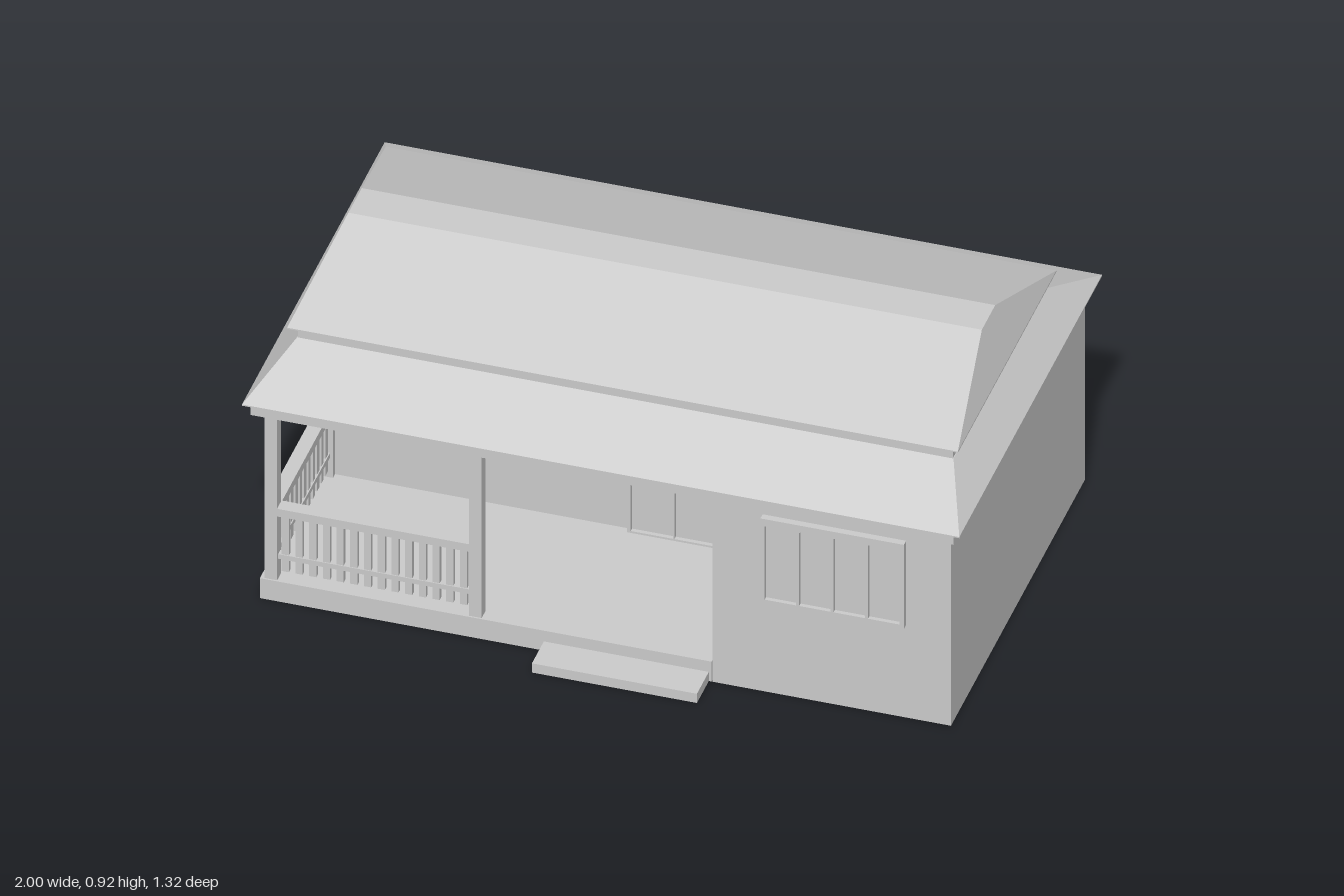
import * as THREE from 'three';

const material = new THREE.MeshStandardMaterial({ color: 0xcccccc, side: THREE.DoubleSide, flatShading: true });

function add(parent, name, geometry) {
  const mesh = new THREE.Mesh(geometry, material);
  mesh.name = name;
  parent.add(mesh);
  return mesh;
}

// Box given by its min and max on each axis
function box(parent, name, x0, x1, y0, y1, z0, z1) {
  const g = new THREE.BoxGeometry(x1 - x0, y1 - y0, z1 - z0);
  g.translate((x0 + x1) / 2, (y0 + y1) / 2, (z0 + z1) / 2);
  return add(parent, name, g);
}

// Faceted loft through stacked rings of points, anticlockwise from above
function loft(rings, capped = true) {
  const pos = [];
  const quad = (a, b, c, d) => pos.push(...a, ...b, ...c, ...a, ...c, ...d);
  for (let k = 0; k < rings.length - 1; k++) {
    const lo = rings[k], hi = rings[k + 1];
    lo.forEach((p, i) => {
      const j = (i + 1) % lo.length;
      quad(p, lo[j], hi[j], hi[i]);
    });
  }
  if (capped) {
    quad(...rings[rings.length - 1]);
    quad(...[...rings[0]].reverse());
  }
  const g = new THREE.BufferGeometry();
  g.setAttribute('position', new THREE.Float32BufferAttribute(pos, 3));
  g.computeVertexNormals();
  return g;
}

const rect = (x, zBack, zFront, y) => [[x, y, zFront], [x, y, zBack], [-x, y, zBack], [-x, y, zFront]];

// Flat frame with a row of arched openings, plus a recessed panel behind them
function archedFrame(name, w, h, count, rim, bar, rise, bottomRim = rim) {
  const group = new THREE.Group();
  group.name = name;
  const shape = new THREE.Shape();
  shape.moveTo(-w / 2, 0);
  shape.lineTo(w / 2, 0);
  shape.lineTo(w / 2, h);
  shape.lineTo(-w / 2, h);
  const pane = (w - 2 * rim - (count - 1) * bar) / count;
  for (let i = 0; i < count; i++) {
    const x = -w / 2 + rim + i * (pane + bar);
    const hole = new THREE.Path();
    hole.moveTo(x, bottomRim);
    hole.lineTo(x, h - rim - rise);
    hole.quadraticCurveTo(x + pane / 2, h - rim + rise, x + pane, h - rim - rise);
    hole.lineTo(x + pane, bottomRim);
    shape.holes.push(hole);
  }
  const frame = new THREE.ExtrudeGeometry(shape, { depth: 0.03, bevelEnabled: false, curveSegments: 8 });
  frame.translate(0, 0, -0.01);
  add(group, name + 'Frame', frame);
  box(group, name + 'Panel', -w / 2 + rim / 2, w / 2 - rim / 2, rim / 2, h - rim / 2, -0.004, 0.008);
  return group;
}

// Porch railing along +x from the origin
function railing(name, length) {
  const group = new THREE.Group();
  group.name = name;
  box(group, 'handrail', 0, length, 0.275, 0.3, -0.02, 0.02);
  box(group, 'lowerRail', 0, length, 0.13, 0.145, -0.01, 0.01);
  const n = Math.round(length / 0.038);
  for (let i = 0; i < n; i++) {
    const x = (i + 0.5) * length / n;
    box(group, 'baluster', x - 0.01, x + 0.01, 0.09, 0.275, -0.007, 0.007);
  }
  return group;
}

export function createModel() {
  const house = new THREE.Group();
  house.name = 'house';

  // Walls: L-shaped plan leaving a corner for the porch, open underneath
  const plan = [[0.965, 0.555], [0.965, -0.625], [-0.96, -0.625], [-0.96, 0.04], [0.3, 0.04], [0.3, 0.555]];
  add(house, 'walls', loft([0, 0.612].map(y => plan.map(([x, z]) => [x, y, z])), false));

  // Porch floor and step
  box(house, 'porchFloor', -0.962, 0.298, 0, 0.065, 0.042, 0.555);
  box(house, 'step', -0.17, 0.29, 0, 0.03, 0.555, 0.66);

  // Porch posts
  box(house, 'cornerPost', -0.95, -0.915, 0.065, 0.612, 0.515, 0.55);
  box(house, 'middlePost', -0.38, -0.345, 0.065, 0.612, 0.515, 0.55);
  box(house, 'wallPost', -0.95, -0.915, 0.065, 0.612, 0.04, 0.06);

  // Railings on the porch front and side
  const frontRail = railing('frontRailing', 0.535);
  frontRail.position.set(-0.915, 0, 0.532);
  const sideRail = railing('sideRailing', 0.455);
  sideRail.rotation.y = -Math.PI / 2;
  sideRail.position.set(-0.933, 0, 0.06);
  house.add(frontRail, sideRail);

  // Windows: front room, porch wall and three at the back
  const windows = [[0.64, 0.555, 1], [-0.63, 0.04, 1], [0.625, -0.625, -1], [0, -0.625, -1], [-0.61, -0.625, -1]];
  for (const [x, z, facing] of windows) {
    const win = archedFrame('window', 0.4, 0.275, 4, 0.012, 0.008, 0.012);
    win.position.set(x, 0.303, z);
    if (facing < 0) win.rotation.y = Math.PI;
    house.add(win);
  }

  // Double door
  const door = archedFrame('door', 0.26, 0.505, 2, 0.01, 0.004, 0.007, 0.006);
  door.position.set(0.035, 0.065, 0.04);
  house.add(door);

  // Fascia under the eaves
  add(house, 'moulding', loft([rect(0.97, -0.632, 0.562, 0.606), rect(0.97, -0.632, 0.562, 0.615)]));
  add(house, 'fascia', loft([rect(0.98, -0.645, 0.58, 0.612), rect(0.98, -0.645, 0.58, 0.648)]));

  // Two-tier hipped roof with a vertical band between the tiers
  add(house, 'lowerRoof', loft([rect(1, -0.663, 0.592, 0.646), rect(1, -0.663, 0.592, 0.65), rect(0.915, -0.44, 0.375, 0.74)]));
  add(house, 'roofBand', loft([rect(0.913, -0.44, 0.375, 0.735), rect(0.913, -0.44, 0.375, 0.785)]));
  add(house, 'upperRoof', loft([rect(0.935, -0.467, 0.4, 0.78), rect(0.935, -0.467, 0.4, 0.784), rect(0.883, -0.093, 0.025, 0.915)]));

  return house;
}
